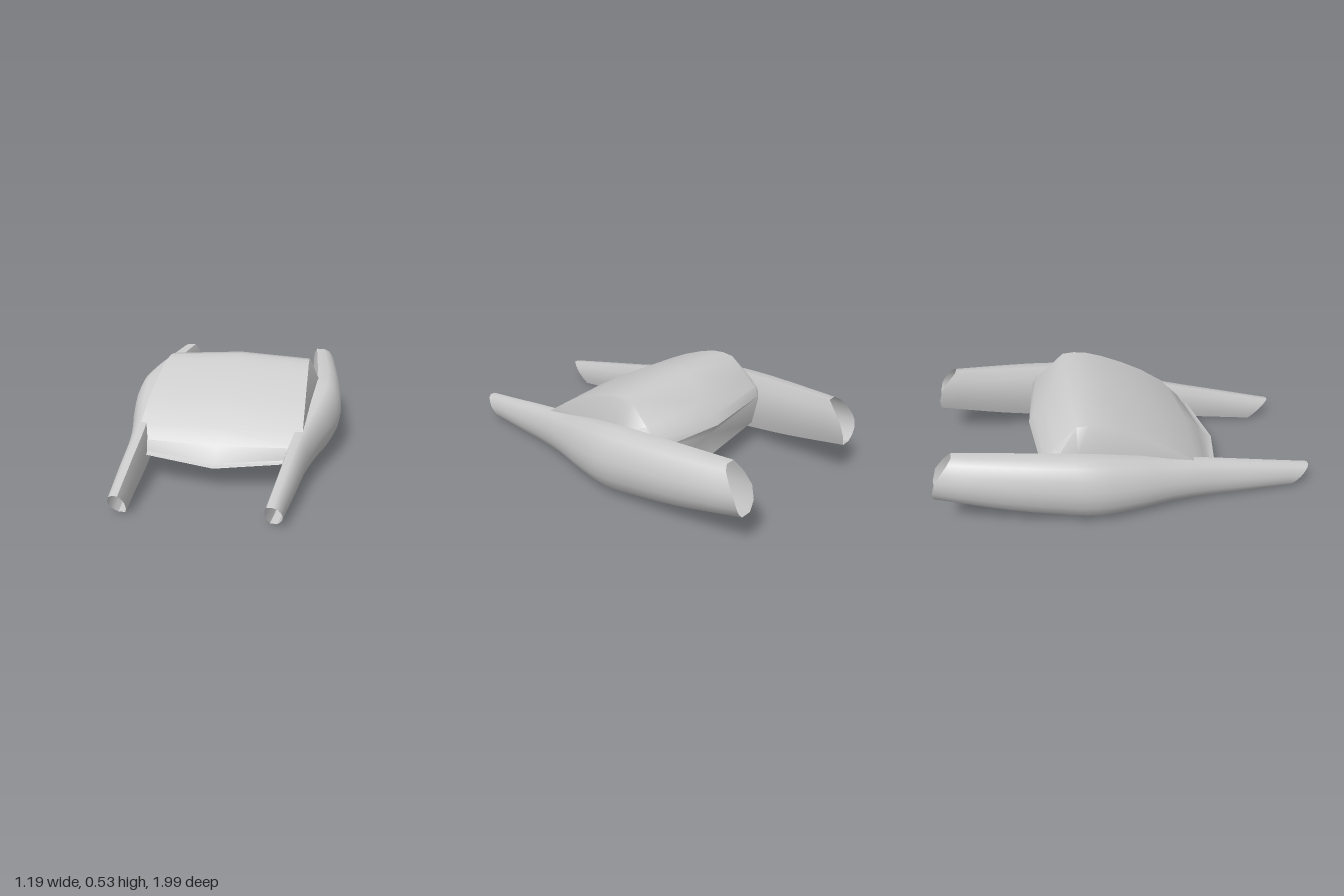
import * as THREE from 'three';
import { toCreasedNormals } from 'three/addons/utils/BufferGeometryUtils.js';

const material = new THREE.MeshStandardMaterial({ color: 0xcccccc, side: THREE.DoubleSide });

// Skin closed rings of [x, y, z] points; flip reverses the corner order.
function loft(rings, { flip = false, capped = false, crease = 0.6 } = {}) {
  const n = rings[0].length;
  const positions = rings.flat(2);
  const index = [];
  const tri = (a, b, c) => (flip ? index.push(a, c, b) : index.push(a, b, c));
  for (let r = 0; r < rings.length - 1; r++) {
    for (let i = 0; i < n; i++) {
      const a = r * n + i, b = r * n + (i + 1) % n;
      tri(a, a + n, b);
      tri(b, a + n, b + n);
    }
  }
  if (capped) {
    [0, rings.length - 1].forEach((r, end) => {
      const centre = positions.length / 3;
      for (let k = 0; k < 3; k++) {
        positions.push(rings[r].reduce((sum, p) => sum + p[k], 0) / n);
      }
      for (let i = 0; i < n; i++) {
        const a = r * n + i, b = r * n + (i + 1) % n;
        end ? tri(a, centre, b) : tri(a, b, centre);
      }
    });
  }
  const geometry = new THREE.BufferGeometry();
  geometry.setAttribute('position', new THREE.Float32BufferAttribute(positions, 3));
  geometry.setIndex(index);
  return toCreasedNormals(geometry, crease);
}

// Pod section: fraction from inner to outer side, fraction of height.
const podSection = [
  [0.2, 1], [0.55, 1], [0.76, 0.92], [0.92, 0.75], [0.99, 0.58], [1, 0.45],
  [0.94, 0.27], [0.81, 0.12], [0.62, 0], [0.2, 0], [0.06, 0.25], [0, 0.55], [0.06, 0.8],
];

// Pod stations: z at top, z at bottom, inner x, outer x, bottom y, top y.
const podStations = [
  [0.98, 0.87, 0.345, 0.425, 0.005, 0.13],
  [0.7, 0.65, 0.36, 0.452, 0.02, 0.188],
  [0.4, 0.4, 0.375, 0.48, 0.038, 0.25],
  [0.2, 0.2, 0.39, 0.52, 0.05, 0.292],
  [0, 0, 0.41, 0.568, 0.05, 0.342],
  [-0.2, -0.2, 0.42, 0.598, 0.055, 0.385],
  [-0.4, -0.4, 0.41, 0.587, 0.085, 0.405],
  [-0.6, -0.65, 0.392, 0.56, 0.13, 0.418],
  [-0.89, -0.995, 0.367, 0.505, 0.21, 0.435],
];

// Hollow side pod, open at both slanted ends; the rear opening is bowed.
function makePod(side) {
  const rails = podSection.map(([u, v]) => {
    const points = podStations.map(([zTop, zBottom, inner, outer, yBottom, yTop], i) => {
      const bulge = i === podStations.length - 1 ? -0.04 * Math.sin(Math.PI * v) : 0;
      return new THREE.Vector3(
        side * THREE.MathUtils.lerp(inner, outer, u),
        THREE.MathUtils.lerp(yBottom, yTop, v),
        THREE.MathUtils.lerp(zBottom, zTop, v) + bulge,
      );
    });
    return new THREE.CatmullRomCurve3(points, false, 'centripetal').getPoints(32);
  });
  const rings = rails[0].map((_, k) => rails.map((rail) => rail[k].toArray()));
  return new THREE.Mesh(loft(rings, { flip: side < 0, crease: 0.7 }), material);
}

// Hull stations: z, crown z, crown y, shoulder x, shoulder y, flank x, flank y, bottom y, bottom z.
const hullStations = [
  [0.475, 0.542, 0.119, 0.36, 0.14, 0.362, 0.137, 0.133, 0.465],
  [0.445, 0.51, 0.128, 0.375, 0.149, 0.378, 0.143, 0.13, 0.44],
  [0.41, 0.452, 0.2, 0.405, 0.2, 0.408, 0.18, 0.13, 0.41],
  [0.35, 0.38, 0.266, 0.425, 0.255, 0.428, 0.23, 0.13, 0.35],
  [0.2, 0.205, 0.378, 0.42, 0.357, 0.432, 0.28, 0.13, 0.2],
  [0.08, 0.08, 0.443, 0.415, 0.42, 0.437, 0.31, 0.13, 0.08],
  [-0.04, -0.04, 0.495, 0.41, 0.472, 0.444, 0.34, 0.13, -0.04],
  [-0.13, -0.13, 0.524, 0.405, 0.502, 0.45, 0.36, 0.132, -0.13],
  [-0.2, -0.2, 0.534, 0.402, 0.512, 0.455, 0.37, 0.135, -0.2],
  [-0.265, -0.275, 0.53, 0.4, 0.508, 0.46, 0.38, 0.138, -0.27],
  [-0.37, -0.4, 0.412, 0.403, 0.41, 0.462, 0.375, 0.143, -0.36],
  [-0.425, -0.465, 0.358, 0.405, 0.365, 0.44, 0.35, 0.146, -0.4],
  [-0.45, -0.49, 0.31, 0.402, 0.32, 0.41, 0.3, 0.15, -0.425],
];

// Central hull with a gently crowned roof, a lipped nose and a bowed tail.
function makeHull() {
  const rings = hullStations.map(([z, cz, cy, sx, sy, fx, fy, by, bz]) => {
    const half = [[sx, sy, z], [fx, fy, z], [fx - 0.01, by, bz]];
    const mirrored = half.map(([x, y, zz]) => [-x, y, zz]).reverse();
    const keel = [0, by - 0.028, bz + (cz - z) * 0.8];
    return [[0, cy, cz], ...half, keel, ...mirrored];
  });
  return new THREE.Mesh(loft(rings, { capped: true, crease: 0.85 }), material);
}

export function createModel() {
  const model = new THREE.Group();

  const hull = makeHull();
  hull.name = 'hull';
  hull.rotation.y = -0.03;
  model.add(hull);

  const rightPod = makePod(-1);
  rightPod.name = 'rightPod';
  model.add(rightPod);

  // The left pod is toed in slightly at the nose.
  const leftPod = makePod(1);
  leftPod.name = 'leftPod';
  leftPod.rotation.y = -0.0425;
  leftPod.position.x = -0.0125;
  model.add(leftPod);

  return model;
}
